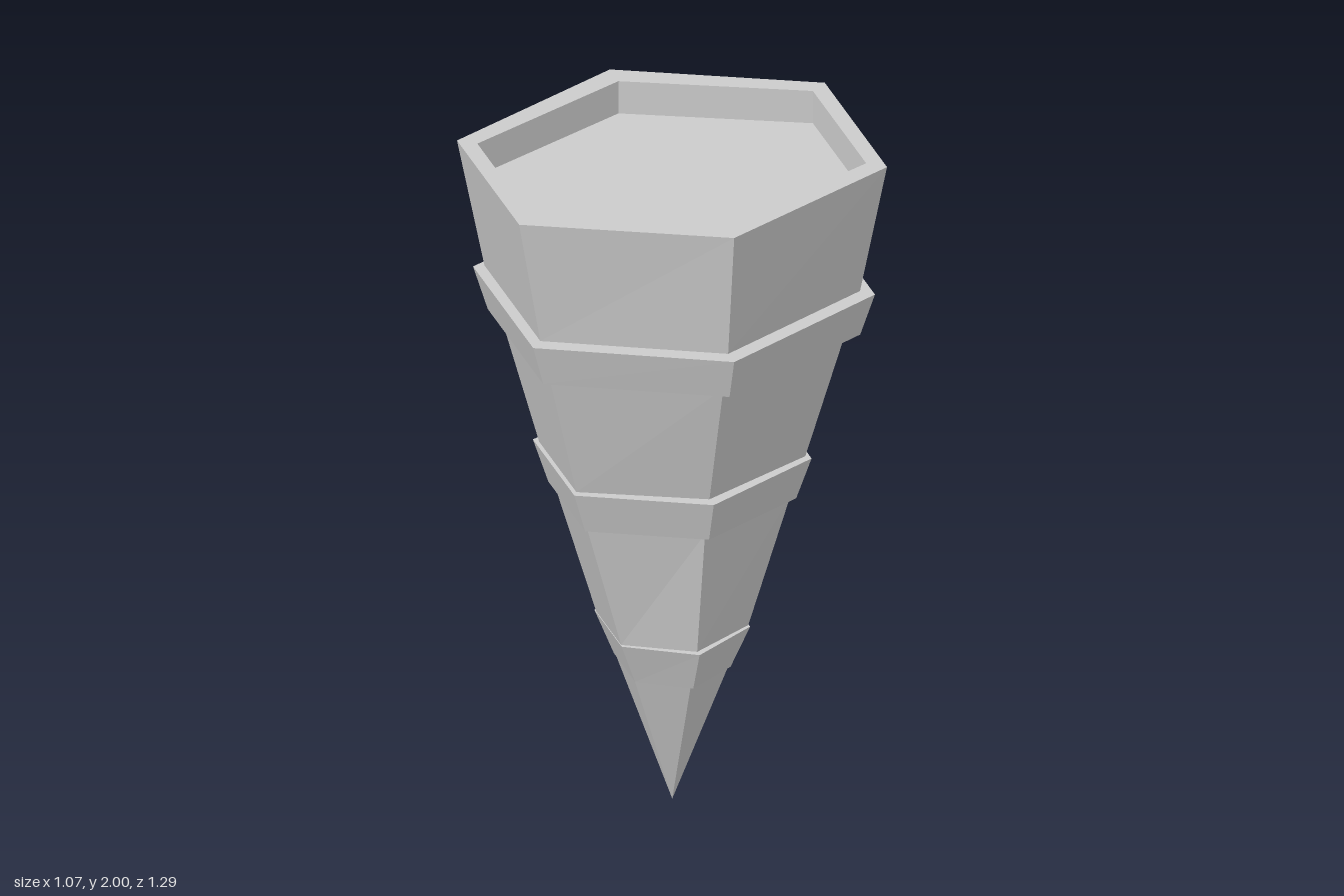
import * as THREE from 'three';

const material = new THREE.MeshStandardMaterial({ color: 0xcccccc, flatShading: true });

// Skin a list of rings, each counter-clockwise as seen from the direction of travel
function loft(name, rings) {
  const pos = [];
  for (let i = 0; i < rings.length - 1; i++) {
    const lo = rings[i], hi = rings[i + 1], n = lo.length;
    for (let k = 0; k < n; k++) {
      const m = (k + 1) % n;
      for (const t of [[lo[k], lo[m], hi[m]], [lo[k], hi[m], hi[k]]]) {
        // skip triangles that collapse at a tip or cap centre
        if (new THREE.Triangle(...t).getArea() > 1e-8) t.forEach((p) => pos.push(p.x, p.y, p.z));
      }
    }
  }
  const geo = new THREE.BufferGeometry();
  geo.setAttribute('position', new THREE.Float32BufferAttribute(pos, 3));
  geo.computeVertexNormals();
  const mesh = new THREE.Mesh(geo, material);
  mesh.name = name;
  return mesh;
}

// Hexagon with corners towards front and back: height, half width, half depth, centre z
function hex([y, halfX, halfZ, cz = 0.115]) {
  return Array.from({ length: 6 }, (_, k) => {
    const a = (k * Math.PI) / 3;
    return new THREE.Vector3((halfX / Math.sin(Math.PI / 3)) * Math.sin(a), y, cz + halfZ * Math.cos(a));
  });
}

export function createModel() {
  const group = new THREE.Group();

  // Tapering body sections, bottom to top
  const sections = [
    ['tip', [0, 0, 0], [0.43, 0.137, 0.16]],
    ['lowerSection', [0.56, 0.185, 0.213], [0.958, 0.296, 0.28]],
    ['middleSection', [1.085, 0.333, 0.318], [1.487, 0.432, 0.437]],
    // the top section turns in over the rim to a sunken floor
    ['cup', [1.615, 0.465, 0.478], [2, 0.535, 0.532, 0.113],
      [2, 0.488, 0.456, 0.111], [1.9, 0.488, 0.456, 0.111], [1.9, 0, 0, 0.111]],
  ];
  for (const [name, ...levels] of sections) group.add(loft(name, levels.map(hex)));

  // Overhanging bands that bridge neighbouring sections
  const bands = [
    ['lowerBand', [0.43, 0.139, 0.18], [0.56, 0.187, 0.234]],
    ['middleBand', [0.958, 0.307, 0.315], [1.085, 0.345, 0.355]],
    ['upperBand', [1.487, 0.461, 0.475, 0.13], [1.615, 0.497, 0.515, 0.13]],
  ];
  bands.forEach(([name, bottom, top], i) => {
    const below = sections[i].at(-1), above = sections[i + 1][1];
    group.add(loft(name, [below, bottom, top, above].map(hex)));
  });

  // Upturned hook at the back: z, lower y, upper y, half width
  const hook = [
    [-0.3, 1.487, 1.615, 0.057],
    [-0.455, 1.487, 1.615, 0.057],
    [-0.645, 1.66, 1.755, 0.042],
  ].map(([z, y0, y1, w]) => [[w, y0], [-w, y0], [-w, y1], [w, y1]]
    .map(([x, y]) => new THREE.Vector3(x, y, z)));
  hook.push(Array(4).fill(new THREE.Vector3(0, 1.7075, -0.645)));
  group.add(loft('hook', hook));

  return group;
}
